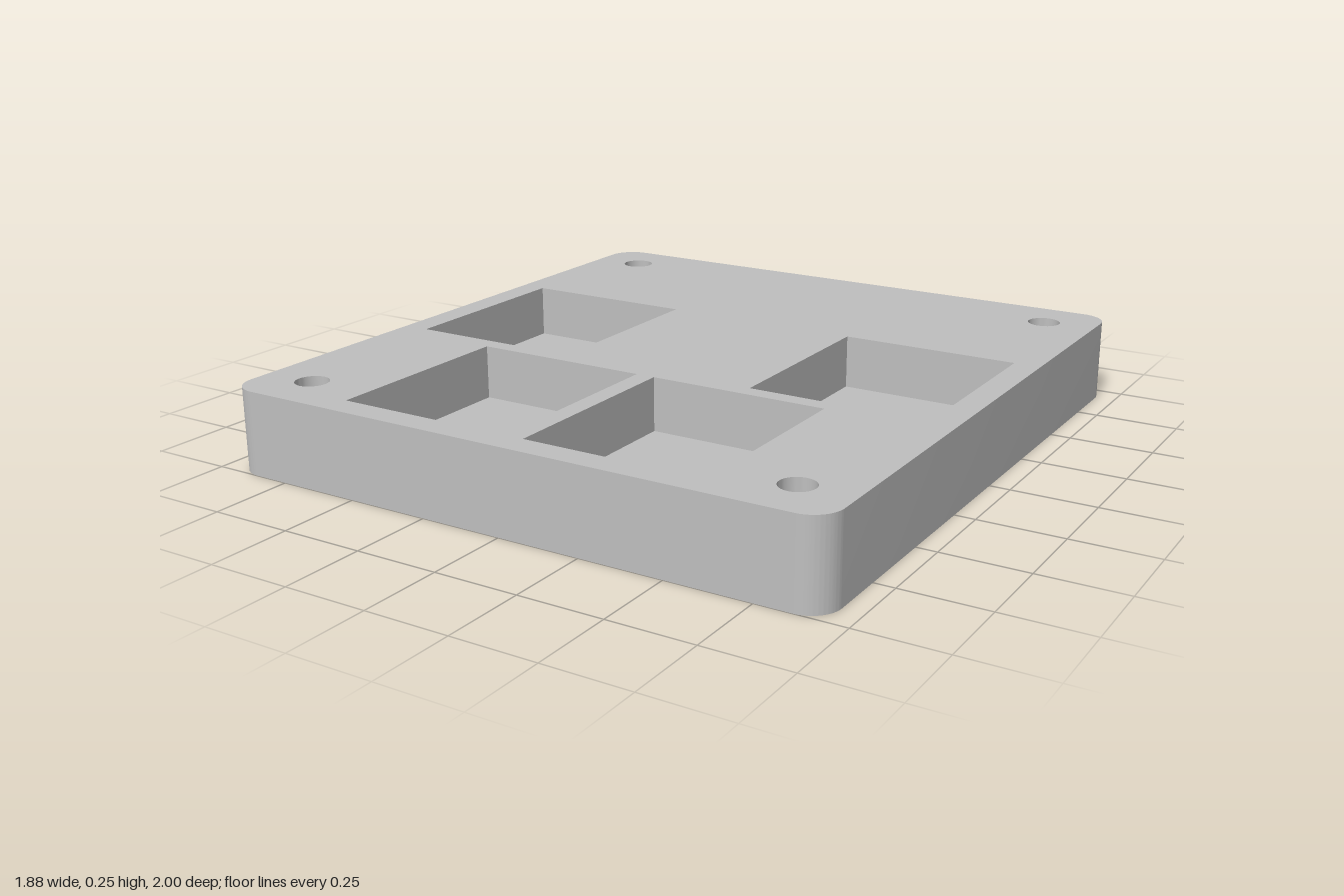
import * as THREE from 'three';
import { toCreasedNormals } from 'three/addons/utils/BufferGeometryUtils.js';

const HALF_X = 0.94, HALF_Z = 1, HEIGHT = 0.25, CORNER = 0.085;
const POCKET_FLOOR = 0.087, FOOT_DEPTH = 0.034;

// Shapes are drawn in plan, with shape y = -z
function roundedRect(hx, hy, r) {
  const s = new THREE.Shape();
  s.absarc(hx - r, hy - r, r, 0, Math.PI / 2);
  s.absarc(r - hx, hy - r, r, Math.PI / 2, Math.PI);
  s.absarc(r - hx, r - hy, r, Math.PI, Math.PI * 1.5);
  s.absarc(hx - r, r - hy, r, Math.PI * 1.5, Math.PI * 2);
  return s;
}

function rect(x0, x1, z0, z1) {
  return new THREE.Shape([[x0, -z1], [x1, -z1], [x1, -z0], [x0, -z0]]
    .map(([x, y]) => new THREE.Vector2(x, y)));
}

function circle(x, z, r) {
  const s = new THREE.Shape();
  s.absarc(x, -z, r, 0, Math.PI * 2);
  return s;
}

// Flat face facing up or down at height y
function cap(shape, y, up = true) {
  const g = new THREE.ShapeGeometry(shape, 16);
  if (!up) {
    // Mirror in plan so the downward face lands on the same outline
    g.scale(1, -1, 1);
    const a = g.index.array;
    for (let i = 0; i < a.length; i += 3) [a[i], a[i + 1]] = [a[i + 1], a[i]];
    g.rotateX(Math.PI / 2);
    g.computeVertexNormals();
  } else g.rotateX(-Math.PI / 2);
  return g.translate(0, y, 0);
}

// Vertical wall following an outline, facing outward or into the opening
function wall(shape, y0, y1, inward = false) {
  const pts = shape.getPoints(16);
  if (inward) pts.reverse();
  const pos = [];
  pts.forEach((a, i) => {
    const b = pts[(i + 1) % pts.length];
    if (a.distanceTo(b) < 1e-6) return;
    pos.push(a.x, y0, -a.y, b.x, y0, -b.y, b.x, y1, -b.y);
    pos.push(a.x, y0, -a.y, b.x, y1, -b.y, a.x, y1, -a.y);
  });
  const g = new THREE.BufferGeometry();
  g.setAttribute('position', new THREE.Float32BufferAttribute(pos, 3));
  return toCreasedNormals(g, Math.PI / 5);
}

export function createModel() {
  const model = new THREE.Group();
  model.name = 'basePlate';
  const grey = new THREE.MeshStandardMaterial({ color: 0xbfbfbf });
  grey.name = 'grey';
  const add = (geometry, name) => {
    const mesh = new THREE.Mesh(geometry, grey);
    mesh.name = name;
    model.add(mesh);
  };

  const outline = roundedRect(HALF_X, HALF_Z, CORNER);
  const screwHoles = [], footRecesses = [], pockets = [];
  for (const sx of [-1, 1]) {
    for (const sz of [-1, 1]) {
      screwHoles.push(circle(sx * 0.778, sz * 0.84, 0.05));
      footRecesses.push(circle(sx * 0.49, sz * 0.793, 0.172));
    }
    // Outer and inner pocket on each side
    for (const [a, b, z0, z1] of [[0.314, 0.86, -0.362, 0.252], [0.029, 0.575, 0.305, 0.92]]) {
      pockets.push(rect(Math.min(sx * a, sx * b), Math.max(sx * a, sx * b), z0, z1));
    }
  }

  // Plate body
  const top = outline.clone();
  top.holes = [...screwHoles, ...pockets];
  const bottom = outline.clone();
  bottom.holes = [...screwHoles, ...footRecesses];
  add(cap(top, HEIGHT), 'topFace');
  add(cap(bottom, 0, false), 'bottomFace');
  add(wall(outline, 0, HEIGHT), 'outerWall');

  // Through holes
  for (const s of screwHoles) add(wall(s, 0, HEIGHT, true), 'screwHole');

  // Rectangular pockets open to the top
  for (const s of pockets) {
    add(wall(s, POCKET_FLOOR, HEIGHT, true), 'pocketWall');
    add(cap(s, POCKET_FLOOR), 'pocketFloor');
  }

  // Shallow round recesses for feet underneath
  for (const s of footRecesses) {
    add(wall(s, 0, FOOT_DEPTH, true), 'footRecessWall');
    add(cap(s, FOOT_DEPTH, false), 'footRecessFace');
  }
  return model;
}
